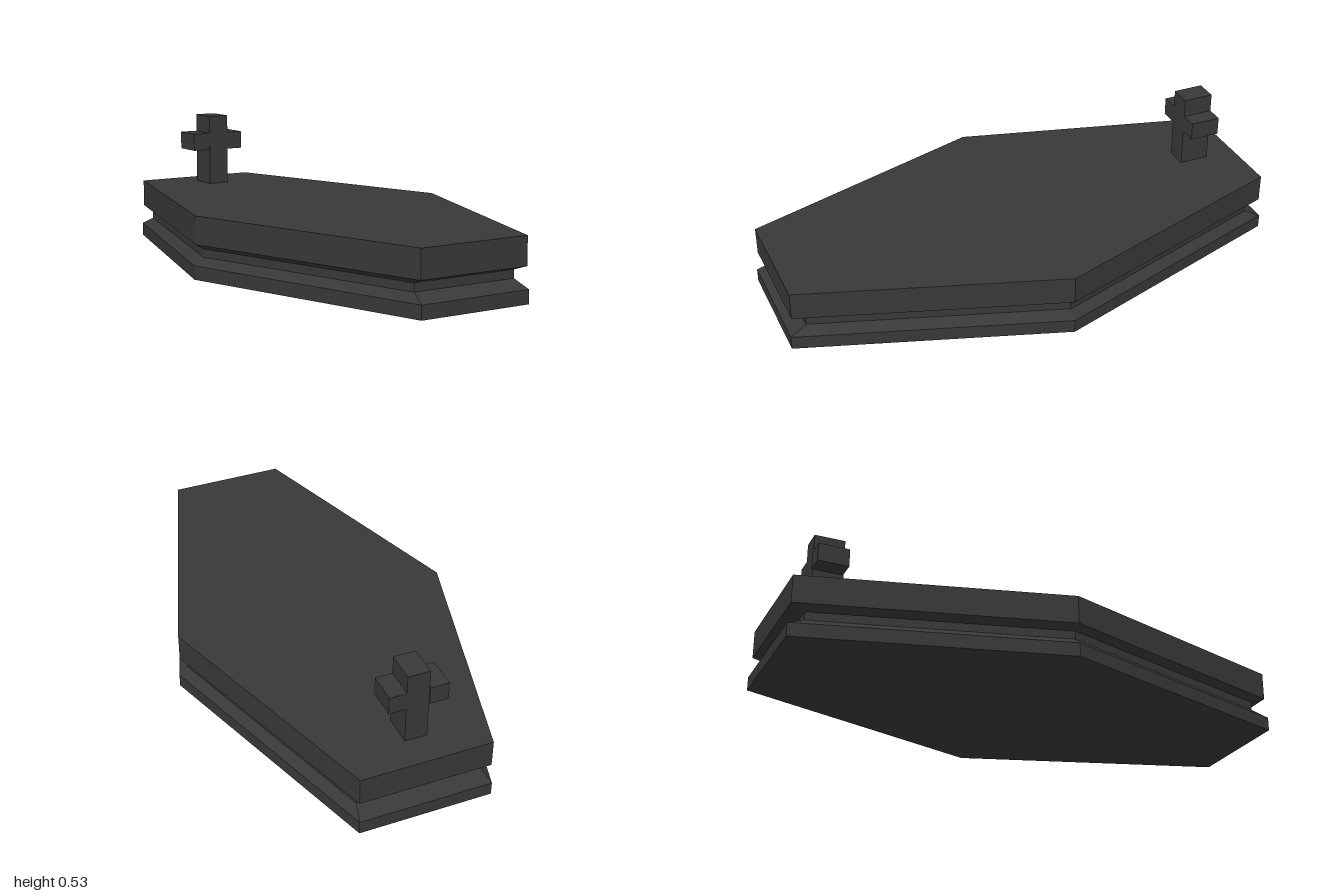
import * as THREE from 'three';

// Six-sided coffin outline [x, z], counter-clockwise seen from above
const OUTLINE = [
  [-0.235, 1], [0.228, 1], [0.557, 0], [0.228, -1], [-0.29, -1], [-0.557, 0],
];

// Closed solid through scaled copies of the outline; levels are [y, scale]
function loftOutline(levels) {
  const positions = [];
  const point = ([y, s], i) => {
    const [x, z] = OUTLINE[i % OUTLINE.length];
    return [x * s, y, z * s];
  };
  const triangle = (a, b, c) => positions.push(...a, ...b, ...c);

  // Side walls
  for (let l = 0; l < levels.length - 1; l++) {
    for (let i = 0; i < OUTLINE.length; i++) {
      const a = point(levels[l], i), b = point(levels[l], i + 1);
      const c = point(levels[l + 1], i + 1), d = point(levels[l + 1], i);
      triangle(a, b, c);
      triangle(a, c, d);
    }
  }
  // Bottom and top caps
  const low = levels[0], high = levels[levels.length - 1];
  for (let i = 1; i < OUTLINE.length - 1; i++) {
    triangle(point(low, 0), point(low, i + 1), point(low, i));
    triangle(point(high, 0), point(high, i), point(high, i + 1));
  }
  const geometry = new THREE.BufferGeometry();
  geometry.setAttribute('position', new THREE.Float32BufferAttribute(positions, 3));
  geometry.computeVertexNormals();
  return geometry;
}

// Box given by its minimum and maximum corners
function boxBetween(min, max) {
  const size = max.map((v, i) => v - min[i]);
  const centre = max.map((v, i) => (v + min[i]) / 2);
  return new THREE.BoxGeometry(...size).translate(...centre);
}

export function createModel() {
  const model = new THREE.Group();
  model.name = 'coffinTomb';

  const darkStone = new THREE.MeshStandardMaterial({ color: 0x383838 });
  darkStone.name = 'darkStone';
  darkStone.flatShading = true;

  const add = (name, geometry, parent = model) => {
    const mesh = new THREE.Mesh(geometry, darkStone);
    mesh.name = name;
    parent.add(mesh);
  };

  // Stepped body with a recessed waist, flaring out to the lid
  add('body', loftOutline([
    [0, 1], [0.053, 1], [0.083, 0.935], [0.115, 0.935], [0.134, 0.99], [0.243, 0.99],
  ]));

  // Cross standing near the back edge
  const cross = new THREE.Group();
  cross.name = 'cross';
  add('crossPost', boxBetween([-0.087, 0.24, -0.866], [0, 0.535, -0.746]), cross);
  add('crossArmRight', boxBetween([-0.161, 0.39, -0.87], [-0.087, 0.462, -0.748]), cross);
  add('crossArmLeft', boxBetween([0, 0.39, -0.866], [0.067, 0.462, -0.746]), cross);
  model.add(cross);

  return model;
}
